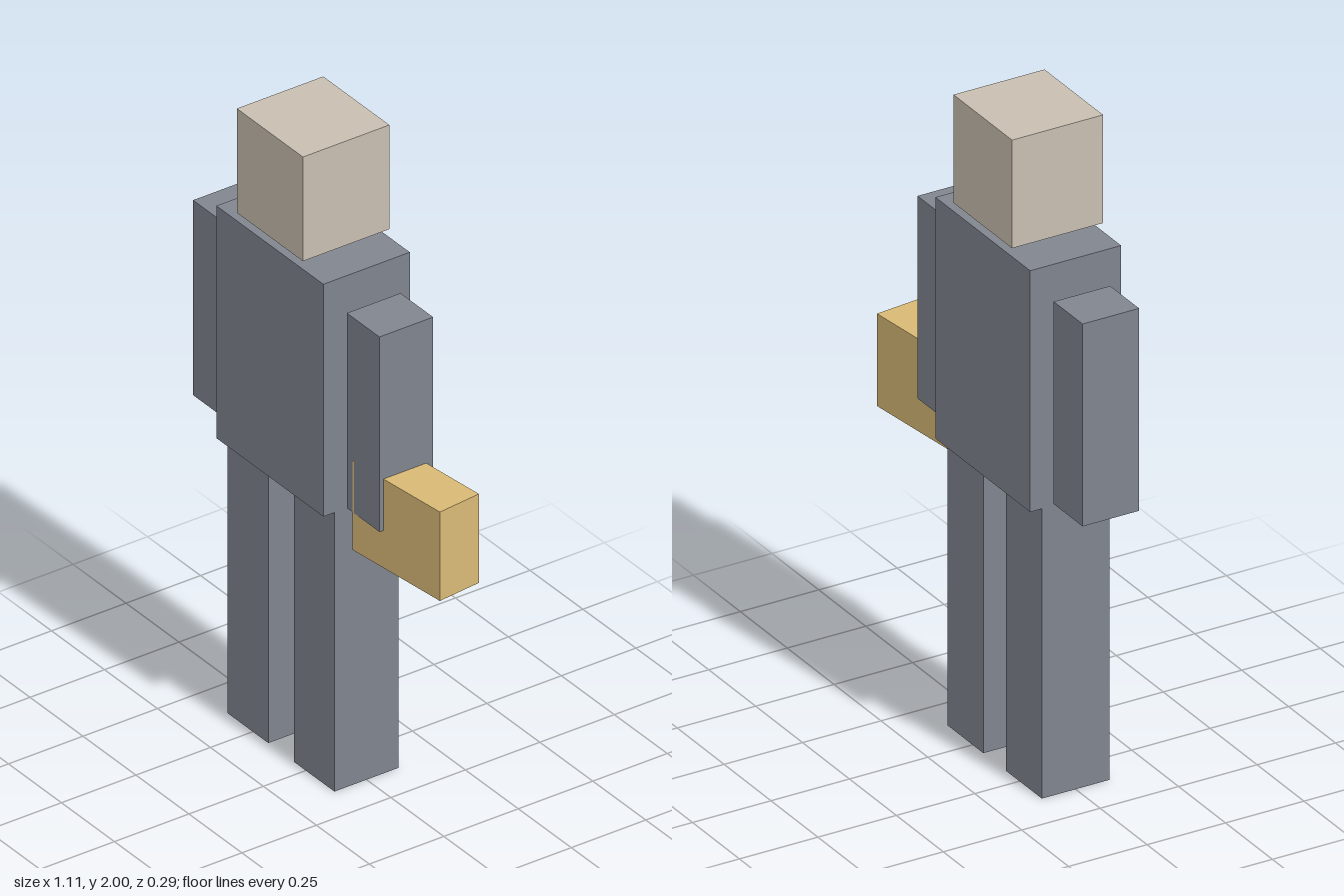
import * as THREE from 'three';

export function createModel() {
  const model = new THREE.Group();
  const cloth = new THREE.MeshStandardMaterial({ color: 0x80858f });
  const skin = new THREE.MeshStandardMaterial({ color: 0xc8bfb1 });
  const tan = new THREE.MeshStandardMaterial({ color: 0xd8b976 });

  // Box with its base centre at (x, y, 0)
  function block(name, material, width, height, depth, x, y) {
    const mesh = new THREE.Mesh(new THREE.BoxGeometry(width, height, depth), material);
    mesh.name = name;
    mesh.position.set(x, y + height / 2, 0);
    model.add(mesh);
    return mesh;
  }

  // The body sits to the right of centre, balanced by the carried case
  const bodyX = -0.117;
  block('head', skin, 0.312, 0.334, 0.29, bodyX, 1.666);
  block('torso', cloth, 0.505, 0.745, 0.29, bodyX, 0.895);

  // Paired limbs
  for (const [side, s] of [['left', 1], ['right', -1]]) {
    block(side + 'Leg', cloth, 0.192, 0.895, 0.215, bodyX + s * 0.156, 0);
    block(side + 'Arm', cloth, 0.154, 0.625, 0.18, bodyX + s * 0.363, 0.92);
  }

  // Case held in the left hand, turned slightly
  const heldCase = block('heldCase', tan, 0.36, 0.285, 0.143, 0.367, 0.8);
  heldCase.rotation.y = 0.11;

  return model;
}
